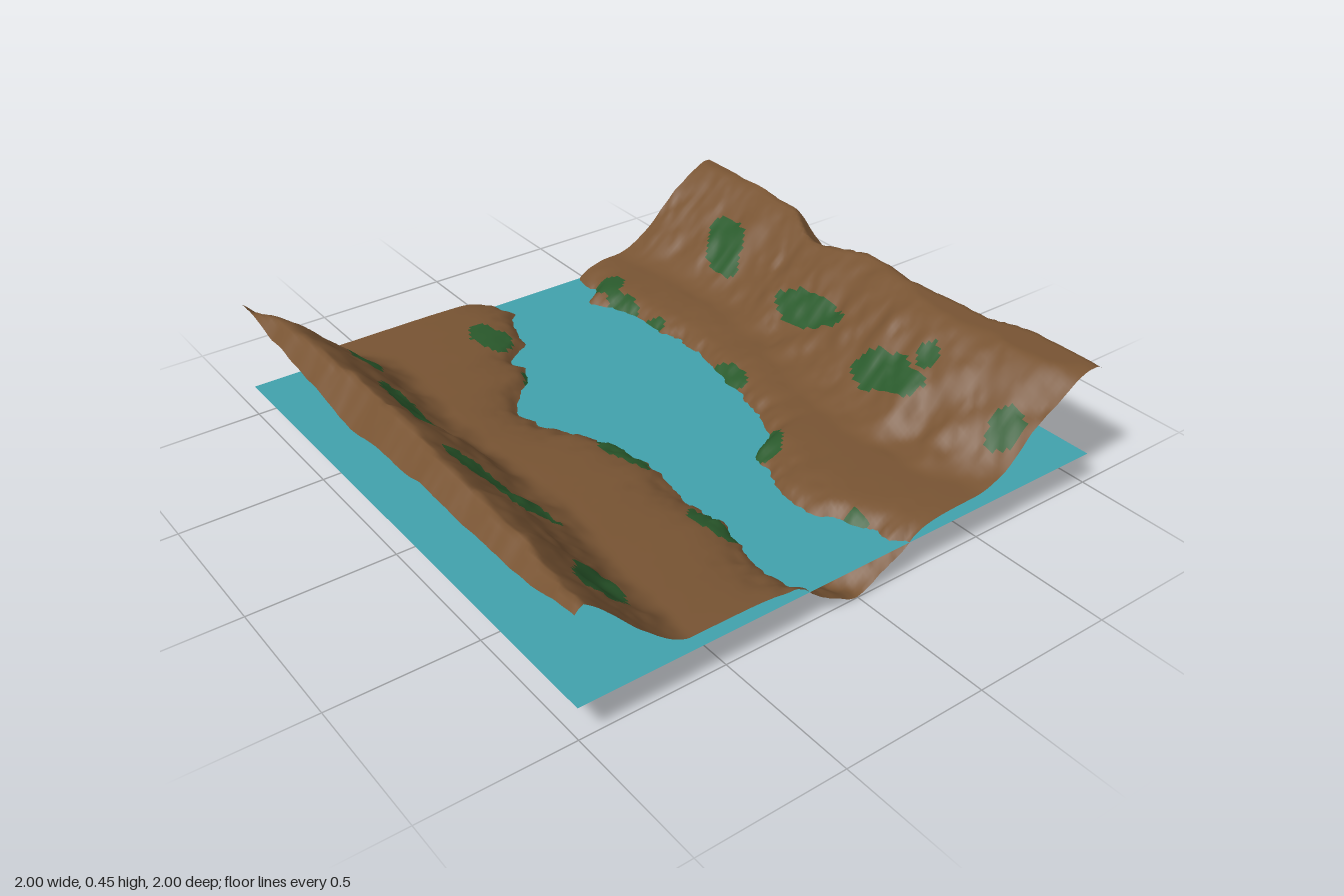
import * as THREE from 'three';

const SEG = 140;      // terrain cells per side
const WATER = 0.113;  // water level
const BANK = 0.165;   // level of the flats beside the river
const PEAK = 0.45;    // ridges are levelled off here

// Values sampled evenly along z from -1 (back) to 1 (front)
const shoreL = [-0.03, -0.01, -0.06, -0.08, -0.19, -0.2, -0.3, -0.35, -0.35, -0.3, -0.22,
  -0.2, -0.18, -0.2, -0.21, -0.2, -0.19, -0.22, -0.25, -0.24, -0.19];
const shoreR = [0.35, 0.36, 0.28, 0.32, 0.36, 0.36, 0.39, 0.39, 0.37, 0.35, 0.33,
  0.31, 0.29, 0.23, 0.11, 0.09, 0.06, 0.06, 0.1, 0.15, 0.19];
const slopeL = [0.88, 0.77, 0.76, 0.77, 0.76, 0.76, 0.79, 0.81, 0.83];   // |x| halfway up the slope
const slopeR = [0.76, 0.81, 0.81, 0.79, 0.75, 0.68, 0.64, 0.66, 0.72];
const edgeL = [0.44, 0.41, 0.37, 0.34, 0.37, 0.38, 0.38, 0.39, 0.43];   // height at the outer rim
const edgeR = [0.45, 0.45, 0.44, 0.33, 0.4, 0.385, 0.39, 0.44, 0.44];

// Grass patches: centre x, centre z, radius x, radius z, lean (x shift per z)
const patches = [
  [-0.87, -0.88, 0.045, 0.06, 0.6], [-0.71, -0.7, 0.05, 0.11, -0.1], [-0.77, -0.3, 0.06, 0.16, -0.1],
  [-0.76, 0.26, 0.065, 0.17, 0.45], [-0.77, 0.77, 0.08, 0.09, -0.3],
  [-0.2, -0.74, 0.065, 0.1, 0], [-0.21, -0.45, 0.03, 0.06, -0.2], [-0.23, 0.12, 0.045, 0.12, 0.1],
  [-0.24, 0.6, 0.04, 0.11, 0.1], [0.39, -0.83, 0.06, 0.06, 0], [0.36, -0.7, 0.04, 0.08, 0.1],
  [0.37, -0.51, 0.025, 0.045, 0], [0.36, -0.06, 0.045, 0.08, 0], [0.18, 0.35, 0.06, 0.08, -0.5],
  [0.13, 0.84, 0.03, 0.04, 0], [0.78, -0.62, 0.065, 0.12, -0.35], [0.71, -0.07, 0.05, 0.17, 0],
  [0.62, 0.44, 0.06, 0.16, 0], [0.71, 0.53, 0.04, 0.04, 0], [0.68, 0.92, 0.06, 0.055, 0],
];

const { clamp, lerp, smoothstep } = THREE.MathUtils;

// Smooth lookup in a list spread over z = -1..1
function along(list, z) {
  const t = clamp((z + 1) / 2, 0, 1) * (list.length - 1);
  const i = Math.min(Math.floor(t), list.length - 2);
  return lerp(list[i], list[i + 1], smoothstep(t - i, 0, 1));
}

// Value noise in -1..1
function hash(i, j) {
  const s = Math.sin(i * 127.1 + j * 311.7) * 43758.5453;
  return (s - Math.floor(s)) * 2 - 1;
}
function noise(x, z) {
  const i = Math.floor(x), j = Math.floor(z);
  const u = smoothstep(x - i, 0, 1), v = smoothstep(z - j, 0, 1);
  return lerp(lerp(hash(i, j), hash(i + 1, j), u), lerp(hash(i, j + 1), hash(i + 1, j + 1), u), v);
}
const rough = (x, z) => noise(x, z) * 0.6 + noise(x * 2.1 + 7, z * 2.1 + 3) * 0.3 + noise(x * 4.3, z * 4.3) * 0.15;

// Terrain height: river bed, banks climbing to the flats, then a ridge on either side
function heightAt(x, z) {
  const left = along(shoreL, z) + 0.03 * rough(x * 12 + 3, z * 22);
  const right = along(shoreR, z) + 0.03 * rough(x * 12 + 9, z * 22 + 5);
  const t = Math.abs((x - (left + right) / 2) / ((right - left) / 2));
  if (t < 1) {
    return Math.max(0, WATER * t ** 1.1 + 0.03 * rough(x * 9, z * 9) * t * (1 - t) * 2);
  }
  const ax = Math.abs(x);
  const mid = along(x < 0 ? slopeL : slopeR, z) + 0.012 * noise(x * 2, z * 9);
  const spread = x < 0 ? 0.21 : 0.25;
  const rise = smoothstep(ax, mid - spread, mid + spread);
  const shoreGap = Math.max(0, x < left ? left - x : x - right);
  const flat = WATER + (BANK - WATER) * (1 - Math.exp(-shoreGap / 0.06));
  const bumps = 0.06 * rough(x * 7 + 20, z * 9) * Math.sqrt(rise) * (1.2 - rise);
  const fall = x < 0 ? 1.1 : 0.85;
  const rim = along(x < 0 ? edgeL : edgeR, z) + (1 - ax) * fall + 0.012 * rough(x * 4, z * 9 + 40);
  return Math.min(flat + (PEAK + 0.01 - BANK) * rise + bumps, rim, PEAK);
}

function isGrass(x, z) {
  return patches.some(([cx, cz, rx, rz, lean]) => {
    const dz = z - cz, dx = x - cx - lean * dz;
    return (dx / rx) ** 2 + (dz / rz) ** 2 < 1 + 0.35 * noise(x * 18, z * 18);
  });
}

export function createModel() {
  const group = new THREE.Group();
  group.name = 'riverValley';
  const addMesh = (name, geometry, color) => {
    const material = new THREE.MeshStandardMaterial({ color, side: THREE.DoubleSide });
    const mesh = new THREE.Mesh(geometry, material);
    mesh.name = name;
    group.add(mesh);
  };

  // Height grid, with its cells sorted into soil and grass
  const positions = [], soil = [], grass = [];
  const coord = (i) => -1 + (2 * i) / SEG;
  for (let j = 0; j <= SEG; j++) {
    for (let i = 0; i <= SEG; i++) positions.push(coord(i), heightAt(coord(i), coord(j)), coord(j));
  }
  const all = [];
  for (let j = 0; j < SEG; j++) {
    for (let i = 0; i < SEG; i++) {
      const a = j * (SEG + 1) + i, c = a + SEG + 1;
      const cell = [a, c, a + 1, a + 1, c, c + 1];
      all.push(...cell);
      (isGrass(coord(i + 0.5), coord(j + 0.5)) ? grass : soil).push(...cell);
    }
  }

  // Normals come from the whole grid so the two surfaces shade as one
  const terrain = new THREE.BufferGeometry();
  terrain.setAttribute('position', new THREE.Float32BufferAttribute(positions, 3));
  terrain.setIndex(all);
  terrain.computeVertexNormals();
  const part = (index) => {
    const geometry = terrain.clone();
    geometry.setIndex(index);
    return geometry;
  };
  addMesh('soil', part(soil), 0x785433);
  addMesh('grassPatches', part(grass), 0x2a5a2c);

  // Water sheet across the whole square
  const water = new THREE.PlaneGeometry(2, 2).rotateX(-Math.PI / 2).translate(0, WATER, 0);
  addMesh('water', water, 0x42a2ad);
  return group;
}
